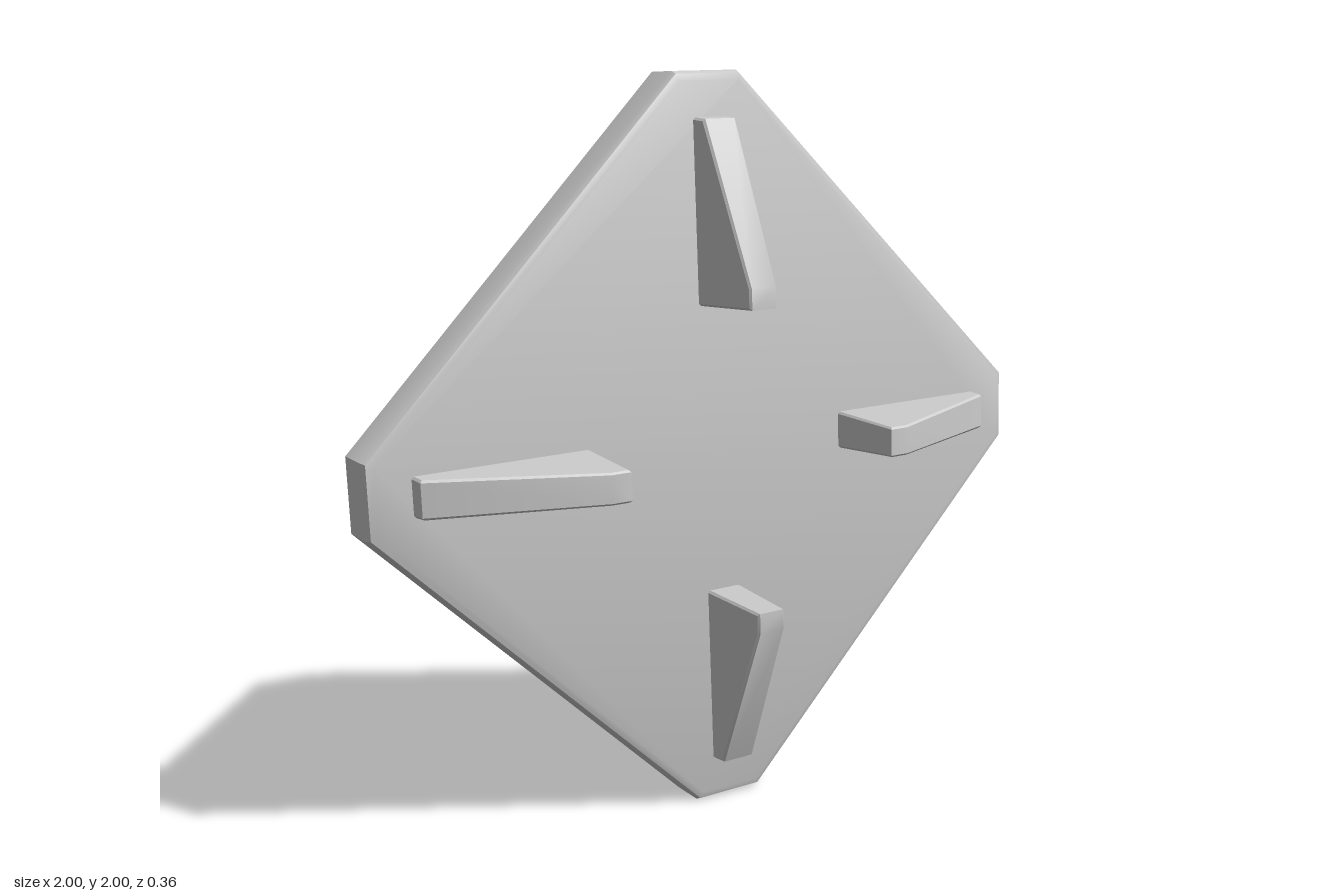
import * as THREE from 'three';
import { toCreasedNormals } from 'three/addons/utils/BufferGeometryUtils.js';

const BACK = -0.18, FRONT = -0.055, BEVEL = 0.025;

const polygon = (points) => new THREE.Shape(points.map(([x, y]) => new THREE.Vector2(x, y)));

// Square plate on its corner, with clipped corners; only the front rim is bevelled
function plateGeometry() {
  const outline = [];
  for (let i = 0; i < 4; i++) {
    const c = Math.round(Math.cos(i * Math.PI / 2)), s = Math.round(Math.sin(i * Math.PI / 2));
    for (const [x, y] of [[0.098, 0.997], [-0.098, 0.997]]) outline.push([x * c - y * s, x * s + y * c]);
  }
  const geo = new THREE.ExtrudeGeometry(polygon(outline), {
    depth: FRONT - BACK - BEVEL, bevelThickness: BEVEL, bevelSize: 0.025, bevelOffset: -0.025, bevelSegments: 2,
  });
  // Flatten the rear bevel
  const p = geo.attributes.position;
  for (let i = 0; i < p.count; i++) p.setZ(i, Math.max(0, p.getZ(i)) + BACK);
  return toCreasedNormals(geo, 0.6);
}

// Wedge fin: side profile in (radius, z), thinner towards its peak
function finGeometry() {
  const profile = [[0.39, FRONT - 0.03], [0.881, FRONT - 0.03], [0.875, -0.008], [0.455, 0.18], [0.4, 0.18]];
  const b = 0.006;
  const geo = new THREE.ExtrudeGeometry(polygon(profile), {
    depth: 1 - 0.12, bevelThickness: 0.06, bevelSize: b, bevelOffset: -b, bevelSegments: 1,
  });
  const p = geo.attributes.position;
  for (let i = 0; i < p.count; i++) {
    const r = p.getX(i), z = p.getY(i), across = p.getZ(i) - 0.44;
    const width = THREE.MathUtils.mapLinear(z, FRONT, 0.18, 0.104, 0.082);
    p.setXYZ(i, across * width, r, z);
  }
  return toCreasedNormals(geo, 0.5);
}

export function createModel() {
  const model = new THREE.Group();
  model.name = 'finnedPlate';
  const material = new THREE.MeshStandardMaterial({ color: 0xcccccc });

  // Whole piece is turned very slightly
  const body = new THREE.Group();
  body.name = 'body';
  body.position.y = 1;
  body.rotation.z = 0.033;
  model.add(body);

  const plate = new THREE.Mesh(plateGeometry(), material);
  plate.name = 'plate';
  body.add(plate);

  // Four fins, one towards each corner
  const fin = finGeometry();
  ['topFin', 'rightFin', 'bottomFin', 'leftFin'].forEach((name, i) => {
    const mesh = new THREE.Mesh(fin, material);
    mesh.name = name;
    mesh.rotation.z = i * Math.PI / 2;
    body.add(mesh);
  });
  return model;
}
